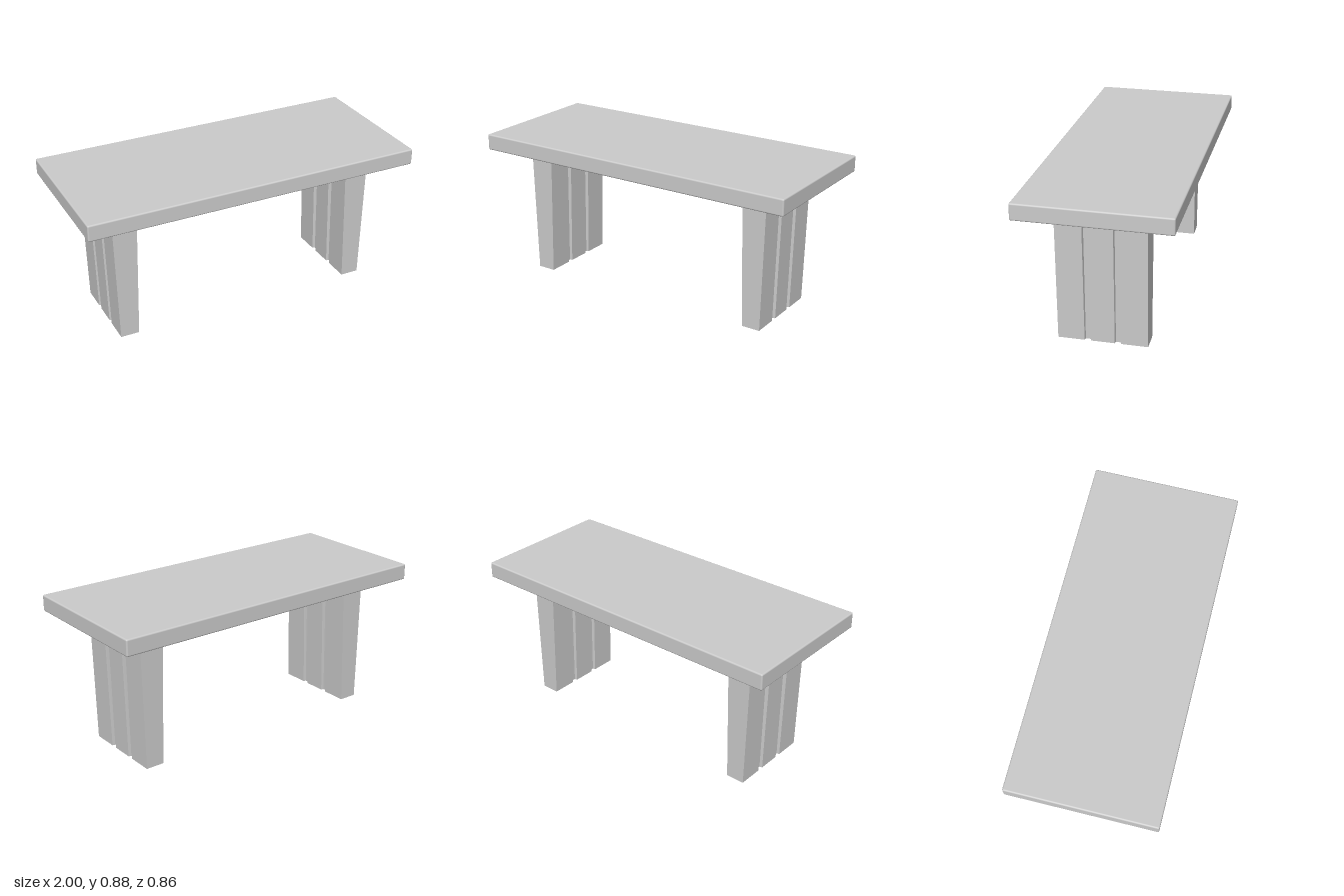
import * as THREE from 'three';
import { RoundedBoxGeometry } from 'three/addons/geometries/RoundedBoxGeometry.js';

const TOP_Y = 0.78, TOP_THICK = 0.096;
const LEG_X = 0.735, LEG_HALF_Z = 0.253;
const HALF_BOTTOM = 0.055, HALF_TOP = 0.074;

// Half of the leg outline as [fraction of half width, z], with two grooves
function legOutline() {
  const floor = 0.7;
  const face = [[1, -LEG_HALF_Z]];
  for (const s of [-1, 1]) {
    const groove = [[1, 0.067], [floor, 0.07], [floor, 0.1], [1, 0.103]].map(([f, z]) => [f, s * z]);
    face.push(...(s < 0 ? groove.reverse() : groove));
  }
  face.push([1, LEG_HALF_Z]);
  // mirror for the opposite face
  return [...face, ...face.map(([f, z]) => [-f, z]).reverse()];
}

// Hollow tapering shell, open at the foot
function legGeometry() {
  const outline = legOutline();
  const pos = [];
  outline.forEach(([f0, z0], i) => {
    const [f1, z1] = outline[(i + 1) % outline.length];
    const a = [f0 * HALF_BOTTOM, 0, z0], b = [f1 * HALF_BOTTOM, 0, z1];
    const c = [f1 * HALF_TOP, TOP_Y, z1], d = [f0 * HALF_TOP, TOP_Y, z0];
    pos.push(...a, ...d, ...c, ...a, ...c, ...b);
  });
  const geo = new THREE.BufferGeometry();
  geo.setAttribute('position', new THREE.Float32BufferAttribute(pos, 3));
  geo.computeVertexNormals();
  return geo;
}

export function createModel() {
  const group = new THREE.Group();
  group.name = 'table';

  // Slab with slightly softened edges
  const top = new THREE.Mesh(
    new RoundedBoxGeometry(2, TOP_THICK, 0.86, 3, 0.009),
    new THREE.MeshStandardMaterial({ color: 0xcccccc })
  );
  top.name = 'tableTop';
  top.position.y = TOP_Y + TOP_THICK / 2;
  group.add(top);

  // Grooved panel legs
  const legMaterial = new THREE.MeshStandardMaterial({ color: 0xcccccc, side: THREE.DoubleSide });
  const geo = legGeometry();
  for (const [name, side] of [['leftLeg', 1], ['rightLeg', -1]]) {
    const leg = new THREE.Mesh(geo, legMaterial);
    leg.name = name;
    leg.position.x = side * LEG_X;
    group.add(leg);
  }
  return group;
}
